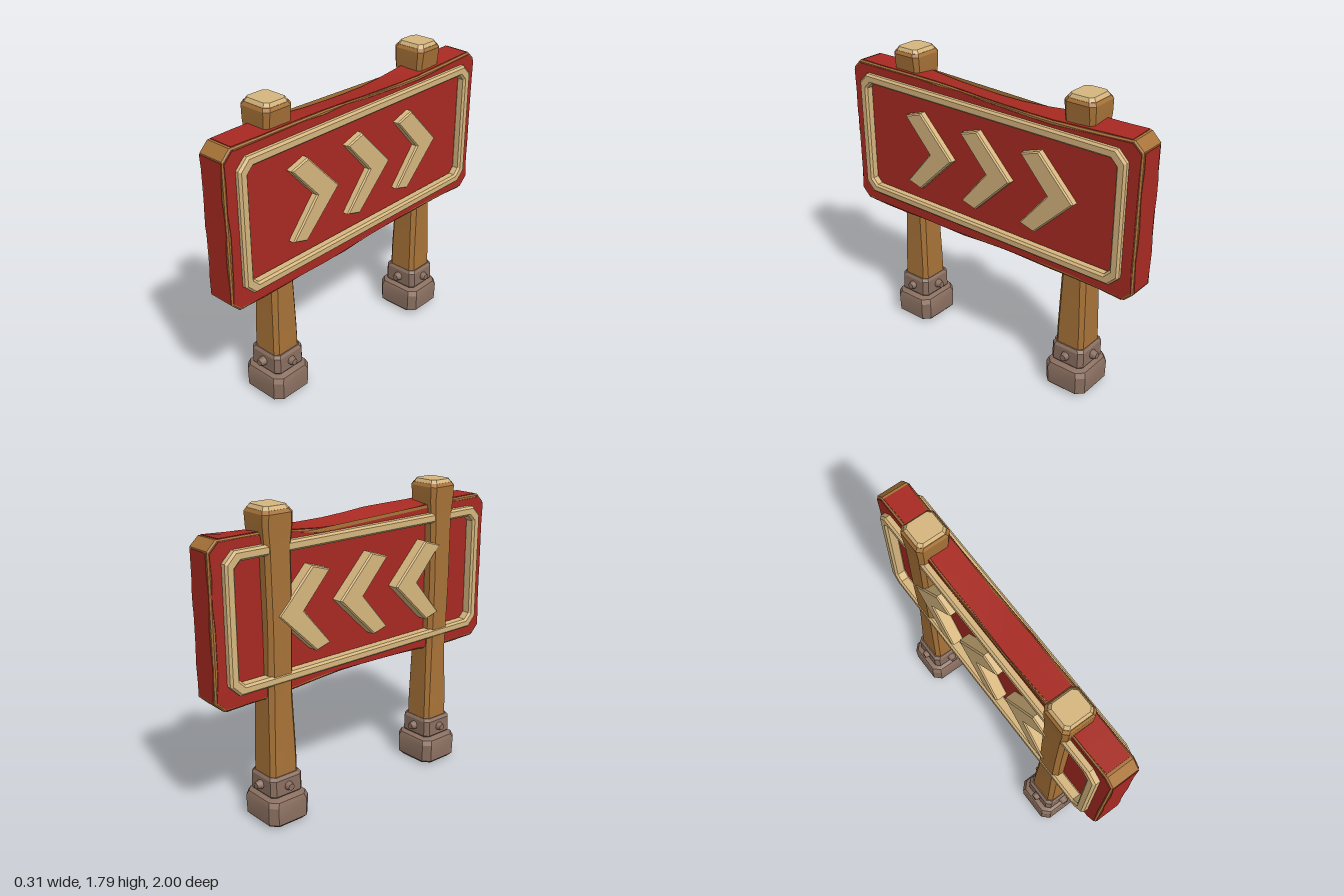
import * as THREE from 'three';
import { toCreasedNormals } from 'three/addons/utils/BufferGeometryUtils.js';

const mat = (name, color) => {
  const m = new THREE.MeshStandardMaterial({ color });
  m.name = name;
  return m;
};

// small seeded generator for chipped paint edges
let seed = 7;
const rnd = () => ((seed = (seed * 16807) % 2147483647) / 2147483647);

const STEPS = 12, HALF = 0.93, Y0 = 0.75, Y1 = 1.66, MID = (Y0 + Y1) / 2;

// chamfered rectangle as points, with optional stations along top and bottom
function outline(hw, y0, y1, c, stations = false, jitter = 0) {
  const run = [];
  if (stations) for (let i = 0; i <= STEPS; i++) run.push(-HALF + (2 * HALF * i) / STEPS);
  const j = () => rnd() * jitter;
  const p = [[-hw, y0 + c], [-hw + c, y0]];
  run.forEach(u => { if (Math.abs(u) < hw - c) p.push([u, y0 + j()]); });
  p.push([hw - c, y0], [hw, y0 + c]);
  if (jitter) for (let k = 1; k < 6; k++) p.push([hw - j(), y0 + c + (k / 6) * (y1 - y0 - 2 * c)]);
  p.push([hw, y1 - c], [hw - c, y1]);
  [...run].reverse().forEach(u => { if (Math.abs(u) < hw - c) p.push([u, y1 - j()]); });
  p.push([-hw + c, y1], [-hw, y1 - c]);
  if (jitter) for (let k = 5; k > 0; k--) p.push([-hw + j(), y0 + c + (k / 6) * (y1 - y0 - 2 * c)]);
  return p.map(([u, v]) => new THREE.Vector2(u, v));
}

// extrude a (z, y) outline between two x positions
function slab(pts, hole, x0, x1, bevel = 0) {
  const s = new THREE.Shape(pts);
  if (hole) s.holes.push(new THREE.Path(hole));
  const g = new THREE.ExtrudeGeometry(s, {
    depth: x1 - x0 - 2 * bevel, bevelEnabled: bevel > 0, bevelSegments: 1,
    bevelSize: bevel, bevelThickness: bevel, bevelOffset: -bevel,
  });
  g.rotateY(-Math.PI / 2);
  g.translate(x1 - bevel, 0, 0);
  return g;
}

// warp: long edges sag between the posts, mostly towards one face
function warp(g) {
  const p = g.attributes.position;
  for (let i = 0; i < p.count; i++) {
    const x = p.getX(i), y = p.getY(i), z = p.getZ(i);
    const back = (0.12 - x) / 0.18;
    const bump = c => Math.max(0, 1 - ((z - c) / 0.6) ** 2);
    const d = 0.05 * bump(0) * back + 0.025 * bump(-0.4) * (1 - back);
    if (y > Y1 - 0.05) p.setY(i, y - d);
    else if (y < Y0 + 0.05) p.setY(i, y + d * 0.7);
  }
  g.computeVertexNormals();
  return g;
}

// loft through chamfered rectangles: [y, x0, x1, z0, z1, chamfer]
function loft(sections) {
  const pos = [], idx = [], n = 8, last = (sections.length - 1) * n;
  for (const [y, x0, x1, z0, z1, c] of sections) {
    for (const [x, z] of [[x1, z0 + c], [x1, z1 - c], [x1 - c, z1], [x0 + c, z1],
      [x0, z1 - c], [x0, z0 + c], [x0 + c, z0], [x1 - c, z0]]) pos.push(x, y, z);
  }
  for (let i = 0; i < sections.length - 1; i++) for (let j = 0; j < n; j++) {
    const a = i * n + j, b = i * n + (j + 1) % n;
    idx.push(a, a + n, b, b, a + n, b + n);
  }
  for (let j = 1; j < n - 1; j++) idx.push(0, j, j + 1, last, last + j + 1, last + j);
  const g = new THREE.BufferGeometry();
  g.setAttribute('position', new THREE.Float32BufferAttribute(pos, 3));
  g.setIndex(idx);
  return toCreasedNormals(g, 0.5);
}

export function createModel() {
  seed = 7;
  const red = mat('red paint', 0xa82a22), wood = mat('wood', 0xa87338);
  const cream = mat('cream paint', 0xd6b67e), stone = mat('stone', 0x8a6f60);
  const root = new THREE.Group();
  root.name = 'arrowSign';
  const add = (parent, name, geo, m) => {
    const mesh = new THREE.Mesh(geo, m);
    mesh.name = name;
    parent.add(mesh);
    return mesh;
  };

  // board: wooden frame with chipped paint layers
  const board = new THREE.Group();
  board.name = 'board';
  root.add(board);
  const opening = outline(0.88, 0.87, 1.56, 0.04);
  add(board, 'boardFrame', warp(slab(outline(0.997, Y0, Y1, 0.052, true), opening, -0.056, 0.116, 0.008)), wood);
  for (const [name, x] of [['right', 0.114], ['left', -0.06]])
    add(board, name + 'FacePaint',
      warp(slab(outline(0.99, Y0 + 0.007, Y1 - 0.007, 0.058, true, 0.014), opening, x, x + 0.006)), red);
  for (const s of [-1, 1]) {
    // end paint
    const end = new THREE.BoxGeometry(0.15, 0.79, 0.007, 1, 8, 1);
    const e = end.attributes.position;
    for (let i = 0; i < e.count; i++)
      e.setX(i, e.getX(i) * (0.97 + 0.1 * Math.sin(e.getY(i) * 17 + s)));
    end.translate(0.03, MID, s * 0.9965);
    add(board, 'endPaint', end, red);
    // top and bottom paint
    const edge = new THREE.BoxGeometry(0.155, 0.008, 2 * HALF, 1, 1, STEPS);
    const p = edge.attributes.position;
    for (let i = 0; i < p.count; i++)
      p.setX(i, p.getX(i) * (0.98 + 0.05 * Math.sin(p.getZ(i) * 11)));
    edge.translate(0.03, s > 0 ? Y1 : Y0, 0);
    add(board, s > 0 ? 'topPaint' : 'bottomPaint', warp(edge), red);
  }
  add(board, 'panel', slab(outline(0.89, 0.86, 1.57, 0.04), null, -0.035, 0.095), red);

  // raised cream border and chevrons on both faces
  const chevron = [[0.57, 1.41], [0.39, 1.21], [0.57, 0.995], [0.47, 0.965], [0.22, 1.21], [0.45, 1.45]];
  for (const [side, b0, b1, c0, c1] of [['right', 0.09, 0.15, 0.085, 0.135], ['left', -0.1, -0.03, -0.108, -0.03]]) {
    add(board, side + 'Border',
      slab(outline(0.925, 0.83, 1.6, 0.06), outline(0.868, 0.885, 1.543, 0.035), b0, b1, 0.012), cream);
    for (let i = 0; i < 3; i++) {
      const pts = chevron.map(([z, y]) => new THREE.Vector2(z - 0.42 * i, y));
      add(board, side + 'Chevron', slab(pts, null, c0, c1, 0.008), cream);
    }
  }

  // posts with stone feet, bands and rivets
  for (const s of [1, -1]) {
    const post = new THREE.Group();
    post.name = s > 0 ? 'frontPost' : 'backPost';
    post.position.z = s * 0.597;
    root.add(post);
    add(post, 'postShaft', loft([
      [0.15, -0.1, 0.09, -0.095, 0.095, 0.025],
      [0.4, -0.098, 0.086, -0.09, 0.09, 0.022],
      [0.75, -0.092, 0.08, -0.08, 0.08, 0.025],
      [1.15, -0.102, 0.08, -0.078, 0.082, 0.022],
      [1.58, -0.103, 0.082, -0.084, 0.084, 0.022],
      [1.68, -0.108, 0.09, -0.094, 0.094, 0.022],
      [1.752, -0.112, 0.098, -0.095, 0.095, 0.025],
      [1.77, -0.1, 0.088, -0.085, 0.085, 0.025],
    ]), wood);
    add(post, 'postCap', loft([
      [1.758, -0.106, 0.092, -0.09, 0.09, 0.025],
      [1.79, -0.085, 0.075, -0.07, 0.07, 0.02],
    ]), cream);
    add(post, 'foot', loft([
      [0, -0.13, 0.115, -0.115, 0.115, 0.04],
      [0.022, -0.152, 0.137, -0.135, 0.135, 0.04],
      [0.13, -0.155, 0.14, -0.137, 0.137, 0.04],
      [0.158, -0.145, 0.13, -0.125, 0.125, 0.04],
      [0.172, -0.12, 0.105, -0.1, 0.1, 0.04],
    ]), stone);
    add(post, 'band', loft([
      [0.165, -0.105, 0.095, -0.095, 0.095, 0.025],
      [0.182, -0.12, 0.108, -0.108, 0.108, 0.025],
      [0.275, -0.119, 0.106, -0.106, 0.106, 0.025],
      [0.292, -0.105, 0.095, -0.095, 0.095, 0.025],
    ]), stone);
    for (let k = 0; k < 4; k++) {
      const g = new THREE.CylinderGeometry(0.02, 0.032, 0.05, 8);
      g.rotateZ(-Math.PI / 2);
      g.translate(0.117, 0, 0);
      g.rotateY((k * Math.PI) / 2);
      g.translate(-0.006, 0.23, 0);
      add(post, 'rivet', toCreasedNormals(g, 0.9), stone);
    }
  }
  return root;
}
